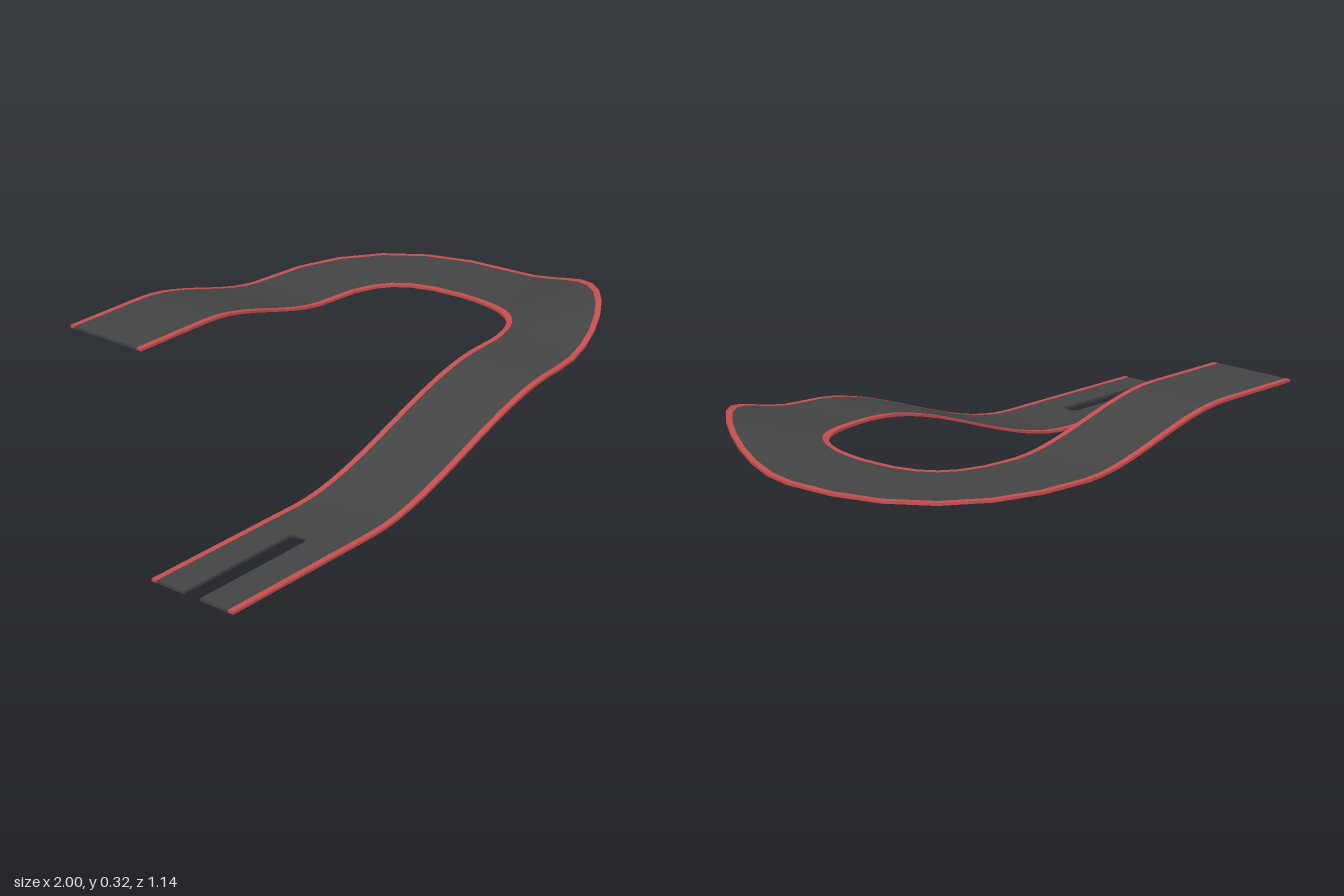
import * as THREE from 'three';

const U = 2 / 7;            // track width, the module everything is laid out on
const HALF = U / 2, RIM = 0.018, THICK = 0.008;
const LANE = 1.5 * U;       // distance of the straights from the middle
const LOW = THICK, MID = 0.215, HIGH = 0.322, BANK = 0.083;

const asphalt = new THREE.MeshStandardMaterial({ color: 0x444444 });
asphalt.name = 'asphalt grey';
const red = new THREE.MeshStandardMaterial({ color: 0xc44e4e });
red.name = 'kerb red';

const smooth = (t) => t * t * (3 - 2 * t);

// Stations along a straight; side is +1 for the front lane, -1 for the back lane
function straight(x0, x1, y0, y1, side, steps) {
  return Array.from({ length: steps + 1 }, (_, i) => {
    const t = i / steps;
    return {
      x: x0 + (x1 - x0) * t, z: side * LANE, nx: 0, nz: side,
      y: y0 + (y1 - y0) * smooth(t), bank: 0,
    };
  });
}

// Stations along a quarter bend; the outer edge can rise into a bank
function bend(points, bank, steps) {
  const curve = new THREE.CubicBezierCurve(...points.map(([x, z]) => new THREE.Vector2(x, z)));
  return Array.from({ length: steps + 1 }, (_, i) => {
    const t = i / steps, p = curve.getPoint(t), d = curve.getTangent(t);
    return { x: p.x, z: p.y, nx: -d.y, nz: d.x, y: MID, bank: bank * Math.sin(Math.PI * t) ** 2 };
  });
}

// Sweep a thin slab between offsets s0 and s1 (positive is the outside of the course)
function sweep(stations, s0, s1) {
  const pos = [], idx = [];
  const corners = stations.map((k) => [[s0, 0], [s1, 0], [s1, -THICK], [s0, -THICK]].map(([s, h]) =>
    [k.x + k.nx * s, k.y + h + k.bank * (s + HALF) / U, k.z + k.nz * s]));
  for (let f = 0; f < 4; f++) {
    const base = pos.length / 3;
    corners.forEach((c, i) => {
      pos.push(...c[f], ...c[(f + 1) % 4]);
      const a = base + i * 2;
      if (i < corners.length - 1) idx.push(a, a + 1, a + 3, a, a + 3, a + 2);
    });
  }
  // end caps
  [[corners[0], [0, 3, 2, 1]], [corners[corners.length - 1], [0, 1, 2, 3]]].forEach(([c, order]) => {
    const a = pos.length / 3;
    order.forEach((j) => pos.push(...c[j]));
    idx.push(a, a + 1, a + 2, a, a + 2, a + 3);
  });
  const geo = new THREE.BufferGeometry();
  geo.setAttribute('position', new THREE.Float32BufferAttribute(pos, 3));
  geo.setIndex(idx);
  geo.computeVertexNormals();
  return geo;
}

function addMesh(group, geo, mat, name) {
  const mesh = new THREE.Mesh(geo, mat);
  mesh.name = name;
  group.add(mesh);
}

// Deck of the starting piece, with a round-ended slot open at the front
function slottedDeck() {
  const x0 = -1, x1 = -LANE, w = HALF - RIM, r = 0.028, end = -0.564, c = 0.018;
  const s = new THREE.Shape();
  s.moveTo(x0, -w);
  s.lineTo(x1, -w);
  s.lineTo(x1, w);
  s.lineTo(x0, w);
  s.lineTo(x0, r);
  s.lineTo(end - c, r);
  s.quadraticCurveTo(end, r, end, 0);
  s.quadraticCurveTo(end, -r, end - c, -r);
  s.lineTo(x0, -r);
  s.closePath();
  const geo = new THREE.ExtrudeGeometry(s, { depth: THICK, bevelEnabled: false, curveSegments: 5 });
  geo.rotateX(-Math.PI / 2);
  geo.translate(0, 0, LANE);
  return geo;
}

export function createModel() {
  const model = new THREE.Group();
  model.name = 'raceTrack';

  const L = LANE, E = 2 * LANE; // bend start and the middle of the lane at its far end
  const pieces = [
    ['startPiece', straight(-1, -L, LOW, LOW, 1, 1)],
    ['longRamp', straight(-L, L, LOW, MID, 1, 16)],
    ['bankedBend', bend([[L, L], [L + U, L], [E, U], [E, 0]], BANK, 12)],
    ['flatBend', bend([[E, 0], [E, -U], [L + U, -L], [L, -L]], 0, 6)],
    ['shortRamp', straight(L, -HALF, MID, HIGH, -1, 12)],
    ['endPiece', straight(-HALF, -L, HIGH, HIGH, -1, 1)],
  ];

  for (const [name, stations] of pieces) {
    const piece = new THREE.Group();
    piece.name = name;
    const deck = name === 'startPiece' ? slottedDeck() : sweep(stations, RIM - HALF, HALF - RIM);
    addMesh(piece, deck, asphalt, 'deck');
    addMesh(piece, sweep(stations, -HALF, RIM - HALF), red, 'innerKerb');
    addMesh(piece, sweep(stations, HALF - RIM, HALF), red, 'outerKerb');
    model.add(piece);
  }
  return model;
}
